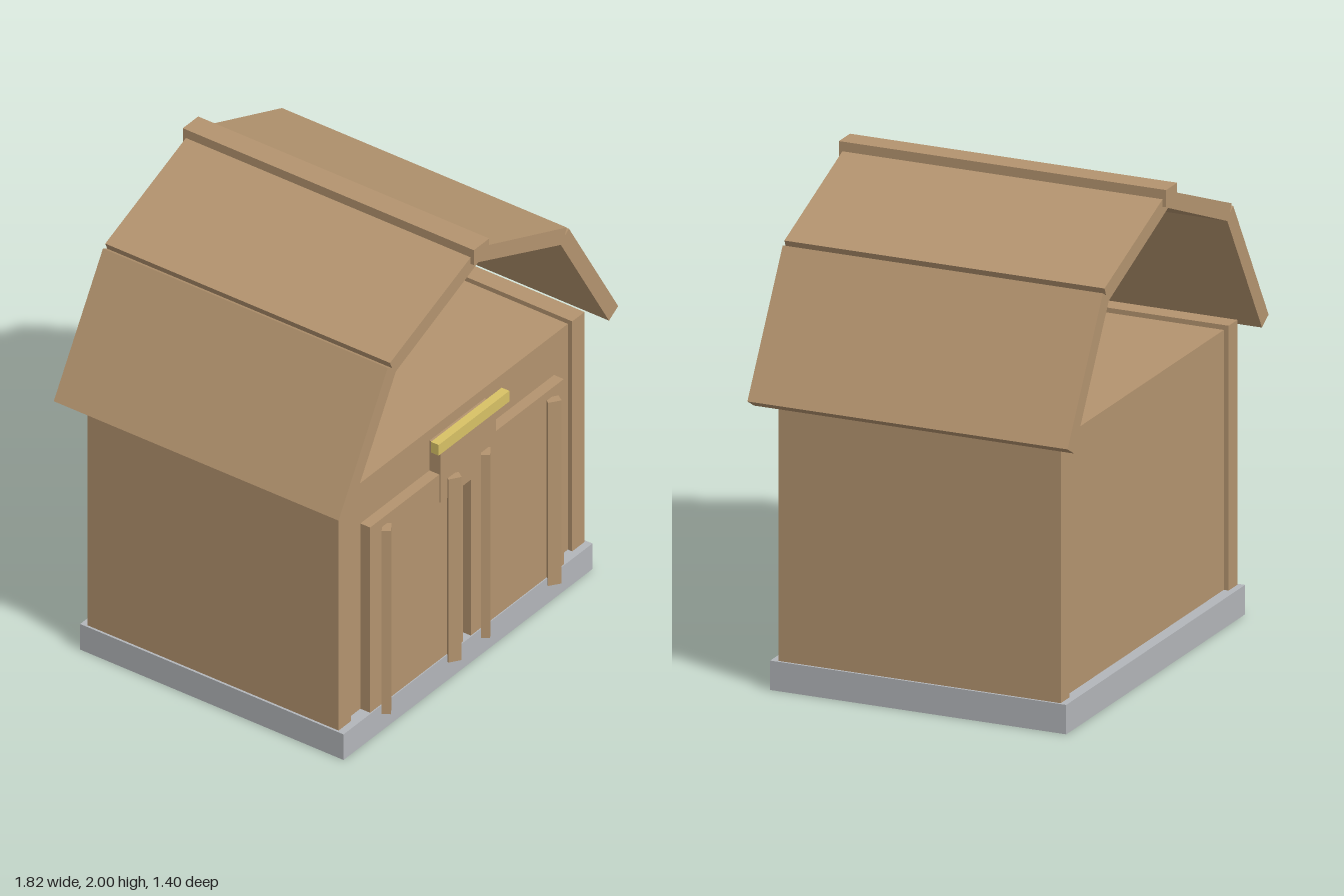
import * as THREE from 'three';

export function createModel() {
  const group = new THREE.Group();
  group.name = 'barn';
  const mat = (name, color) => {
    const m = new THREE.MeshStandardMaterial({ color });
    m.name = name;
    return m;
  };
  const wood = mat('brown wood', 0xb4946f);
  const stone = mat('grey stone', 0xb3b6ba);
  const brass = mat('yellow lintel', 0xd8c266);

  const add = (name, geometry, material) => {
    const mesh = new THREE.Mesh(geometry, material);
    mesh.name = name;
    group.add(mesh);
    return mesh;
  };
  // Box given by its limits on each axis
  const box = (name, material, [x0, x1], [y0, y1], [z0, z1]) => {
    const mesh = add(name, new THREE.BoxGeometry(x1 - x0, y1 - y0, z1 - z0), material);
    mesh.position.set((x0 + x1) / 2, (y0 + y1) / 2, (z0 + z1) / 2);
    return mesh;
  };
  // Outline in x and y, pushed from z0 to z1
  const prism = (name, points, z0, z1) => {
    const shape = new THREE.Shape(points.map(([x, y]) => new THREE.Vector2(x, y)));
    const geometry = new THREE.ExtrudeGeometry(shape, { depth: z1 - z0, bevelEnabled: false });
    geometry.translate(0, 0, z0);
    return add(name, geometry, wood);
  };

  // Foundation, main block and side walls
  box('foundation', stone, [-0.81, 0.81], [0, 0.12], [-0.632, 0.635]);
  box('mainBlock', wood, [-0.72, 0.72], [0.12, 1.18], [-0.583, 0.583]);
  box('rightWall', wood, [-0.8, -0.72], [0.12, 1.2], [-0.604, 0.604]);
  box('leftWall', wood, [0.72, 0.8], [0.12, 1.2], [-0.604, 0.604]);

  // Double door with a slot in the middle
  prism('doors', [
    [-0.63, 0.12], [-0.025, 0.12], [-0.025, 0.86], [0.025, 0.86],
    [0.025, 0.12], [0.63, 0.12], [0.63, 0.99], [-0.63, 0.99],
  ], 0.58, 0.63);
  box('doorHeader', wood, [-0.18, 0.18], [0.86, 1.13], [0.58, 0.637]);
  box('lintel', brass, [-0.23, 0.23], [1.12, 1.17], [0.627, 0.664]);

  // Turned boards standing against the doors; (x, 0.675) is the foremost edge
  const angle = 0.6, width = 0.055, depth = 0.036;
  for (const [x, s] of [[-0.555, 1], [-0.095, -1], [0.09, 1], [0.555, -1]]) {
    const board = add('doorBoard', new THREE.BoxGeometry(width, 0.86, depth), wood);
    board.geometry.translate(s * width / 2, 0, -depth / 2);
    board.rotation.y = s * angle;
    board.position.set(x, 0.52, 0.675);
  }

  // Gambrel roof: two sloping slabs per side and a ridge beam
  for (const s of [-1, 1]) {
    const side = s > 0 ? 'left' : 'right';
    const mirror = (points) => points.map(([x, y]) => [s * x, y]);
    prism(side + 'UpperRoof', mirror([[0, 1.98], [0, 1.91], [0.547, 1.69], [0.575, 1.755]]), -0.685, 0.685);
    prism(side + 'LowerRoof', mirror([[0.59, 1.74], [0.53, 1.705], [0.85, 1.165], [0.91, 1.2]]), -0.685, 0.685);
  }
  box('ridgeBeam', wood, [-0.05, 0.05], [1.93, 2], [-0.7, 0.7]);

  return group;
}
